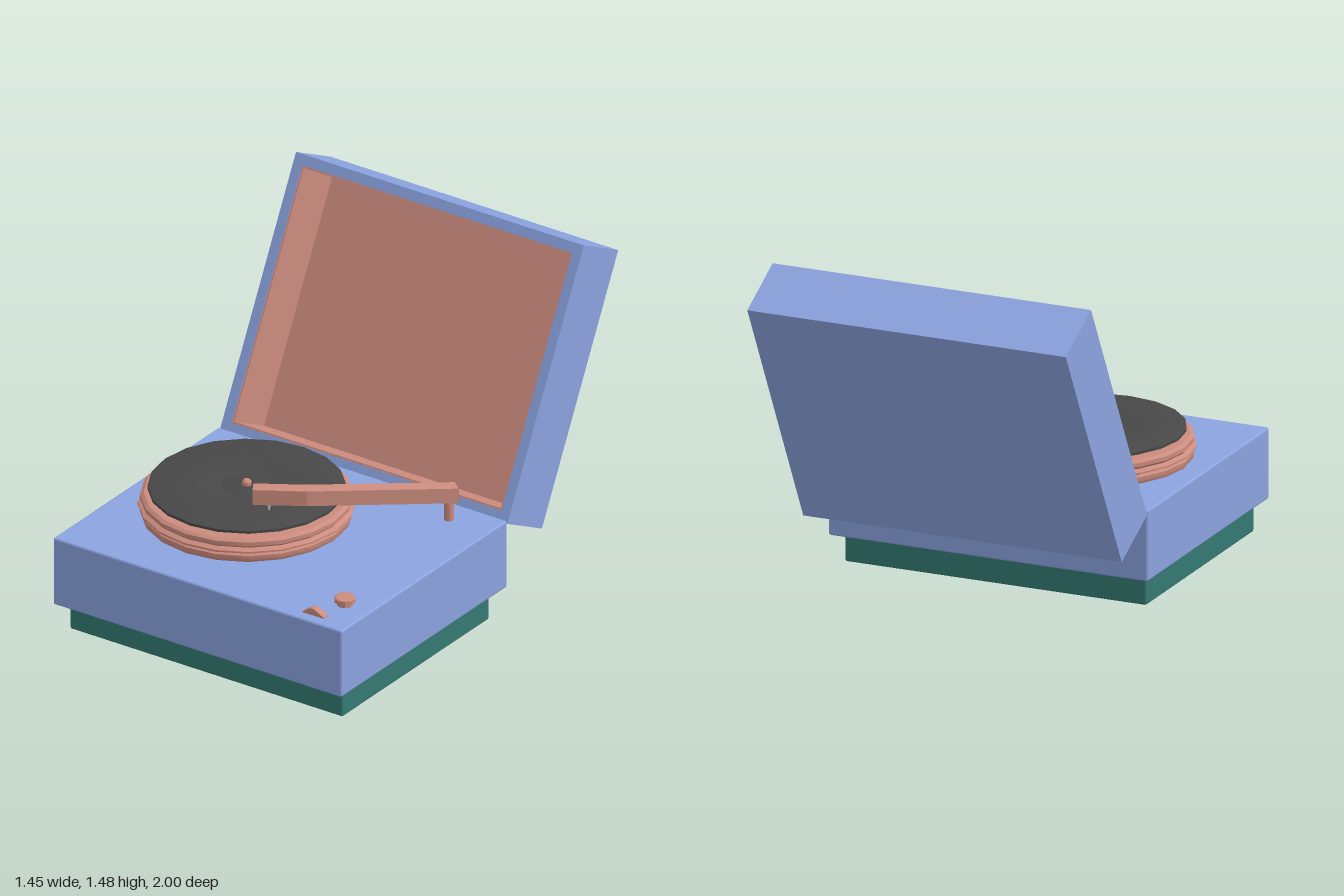
import * as THREE from 'three';
import { RoundedBoxGeometry } from 'three/addons/geometries/RoundedBoxGeometry.js';
import { toCreasedNormals } from 'three/addons/utils/BufferGeometryUtils.js';

const paint = (color) => new THREE.MeshStandardMaterial({ color });
const blue = paint(0x8ba3e0);
const clay = paint(0xcc8c7e);
const green = paint(0x347a72);
const black = paint(0x484848);
const grey = paint(0xcccccc);

function add(parent, name, geometry, material, x = 0, y = 0, z = 0) {
  const mesh = new THREE.Mesh(geometry, material);
  mesh.name = name;
  mesh.position.set(x, y, z);
  parent.add(mesh);
  return mesh;
}

// Turned part from [radius, height] pairs, listed bottom to top
function turned(points, sides) {
  const profile = points.map(([r, y]) => new THREE.Vector2(r, y));
  return toCreasedNormals(new THREE.LatheGeometry(profile, sides), 0.5);
}

// Rectangular frame in the xy plane, extruded towards +z
function frame(x, y0, y1, wall, depth) {
  const rect = (Type, a, b, c) => {
    const path = new Type();
    path.moveTo(-a, b).lineTo(a, b).lineTo(a, c).lineTo(-a, c).closePath();
    return path;
  };
  const shape = rect(THREE.Shape, x, y0, y1);
  shape.holes.push(rect(THREE.Path, x - wall, y0 + wall, y1 - wall));
  return new THREE.ExtrudeGeometry(shape, { depth, bevelEnabled: false });
}

// Open lid: local y runs up from the hinge edge, local z faces the opening
function createLid() {
  const lid = new THREE.Group();
  lid.name = 'lid';
  const halfWidth = 0.723, height = 1.194, wall = 0.045;
  add(lid, 'lidBack', new THREE.BoxGeometry(halfWidth * 2, height, 0.026), blue, 0, height / 2, -0.267);
  add(lid, 'lidWalls', frame(halfWidth, 0, height, wall, 0.254), blue, 0, 0, -0.254);
  const innerHalf = halfWidth - wall, innerHeight = height - 2 * wall;
  add(lid, 'lidLiningWalls', frame(innerHalf, wall, height - wall, 0.008, 0.246), clay, 0, 0, -0.25);
  add(lid, 'lidLiningPanel', new THREE.BoxGeometry(innerHalf * 2, innerHeight, 0.006), clay, 0, height / 2, -0.25);
  lid.position.set(0, 0.422, -0.2);
  lid.rotation.x = -0.479;
  return lid;
}

// Platter, record and spindle
function createTurntable() {
  const table = new THREE.Group();
  table.name = 'turntable';
  add(table, 'platter', turned([
    [0, 0], [0.435, 0], [0.44, 0.01], [0.44, 0.03], [0.43, 0.038], [0.45, 0.046],
    [0.45, 0.054], [0.43, 0.064], [0.44, 0.074], [0.44, 0.092], [0.425, 0.102], [0.39, 0.102], [0, 0.102],
  ], 20), clay);
  add(table, 'mat', new THREE.CylinderGeometry(0.33, 0.33, 0.02, 20), black, 0, 0.108, 0);
  add(table, 'record', turned([
    [0, 0.113], [0.395, 0.113], [0.41, 0.118], [0.41, 0.13], [0.395, 0.135],
    [0.115, 0.133], [0.105, 0.13], [0.095, 0.133], [0, 0.133],
  ], 20), black);
  add(table, 'spindle', turned([[0.02, 0.1], [0.02, 0.148], [0.012, 0.157], [0, 0.157]], 8), clay);
  table.position.set(-0.195, 0.44, 0.362);
  return table;
}

// Square-section arm, bent in plan and dropping towards its pivot
function createTonearm() {
  const arm = new THREE.Group();
  arm.name = 'tonearm';
  const stations = [
    { p: [-0.047, 0.645, 0.53], d: [0.86, -0.51] },
    { p: [0.14, 0.645, 0.415], d: [0.77, -0.66] },
    { p: [0.54, 0.557, -0.097], d: [0.615, -0.788] },
  ];
  const geometry = new THREE.BoxGeometry(2, 0.068, 0.06, 2, 1, 1);
  const pos = geometry.attributes.position;
  for (let i = 0; i < pos.count; i++) {
    const { p, d } = stations[Math.round(pos.getX(i)) + 1];
    const side = pos.getZ(i);
    pos.setXYZ(i, p[0] - d[1] * side, p[1] + pos.getY(i), p[2] + d[0] * side);
  }
  add(arm, 'armBar', toCreasedNormals(geometry, 0.3), clay);
  add(arm, 'armPost', new THREE.CylinderGeometry(0.02, 0.02, 0.12, 12), clay, 0.521, 0.49, -0.068);
  add(arm, 'needle', turned([[0, -0.037], [0.004, -0.035], [0.006, -0.016], [0.016, -0.008], [0.016, 0.005]], 8),
    grey, 0.013, 0.612, 0.5);
  return arm;
}

function createControls() {
  const controls = new THREE.Group();
  controls.name = 'controls';
  // Knob with a flared cap
  add(controls, 'knob', turned([
    [0.034, -0.005], [0.034, 0.012], [0.045, 0.016], [0.045, 0.034], [0.04, 0.038], [0, 0.038],
  ], 10), clay, 0.6, 0.44, 0.795);
  // Wedge-shaped rocker switch
  const wedge = new THREE.Shape();
  wedge.moveTo(-0.054, -0.005).lineTo(0.054, -0.005).lineTo(0.054, 0.005).lineTo(0.005, 0.03)
    .lineTo(-0.012, 0.03).lineTo(-0.054, 0.002).closePath();
  add(controls, 'switch', new THREE.ExtrudeGeometry(wedge, { depth: 0.032, bevelEnabled: false }),
    clay, 0.547, 0.44, 0.918);
  return controls;
}

export function createModel() {
  const model = new THREE.Group();
  model.name = 'recordPlayer';
  // Cabinet and recessed plinth
  add(model, 'cabinet', new RoundedBoxGeometry(1.45, 0.31, 1.197, 2, 0.01), blue, 0, 0.285, 0.4015);
  add(model, 'plinth', new RoundedBoxGeometry(1.37, 0.135, 1.06, 2, 0.01), green, 0, 0.0675, 0.405);
  model.add(createLid(), createTurntable(), createTonearm(), createControls());
  // Hinges between cabinet and lid
  for (const x of [-0.38, 0.44]) {
    add(model, 'hinge', new THREE.BoxGeometry(0.08, 0.055, 0.024), grey, x, 0.395, -0.204);
  }
  return model;
}
